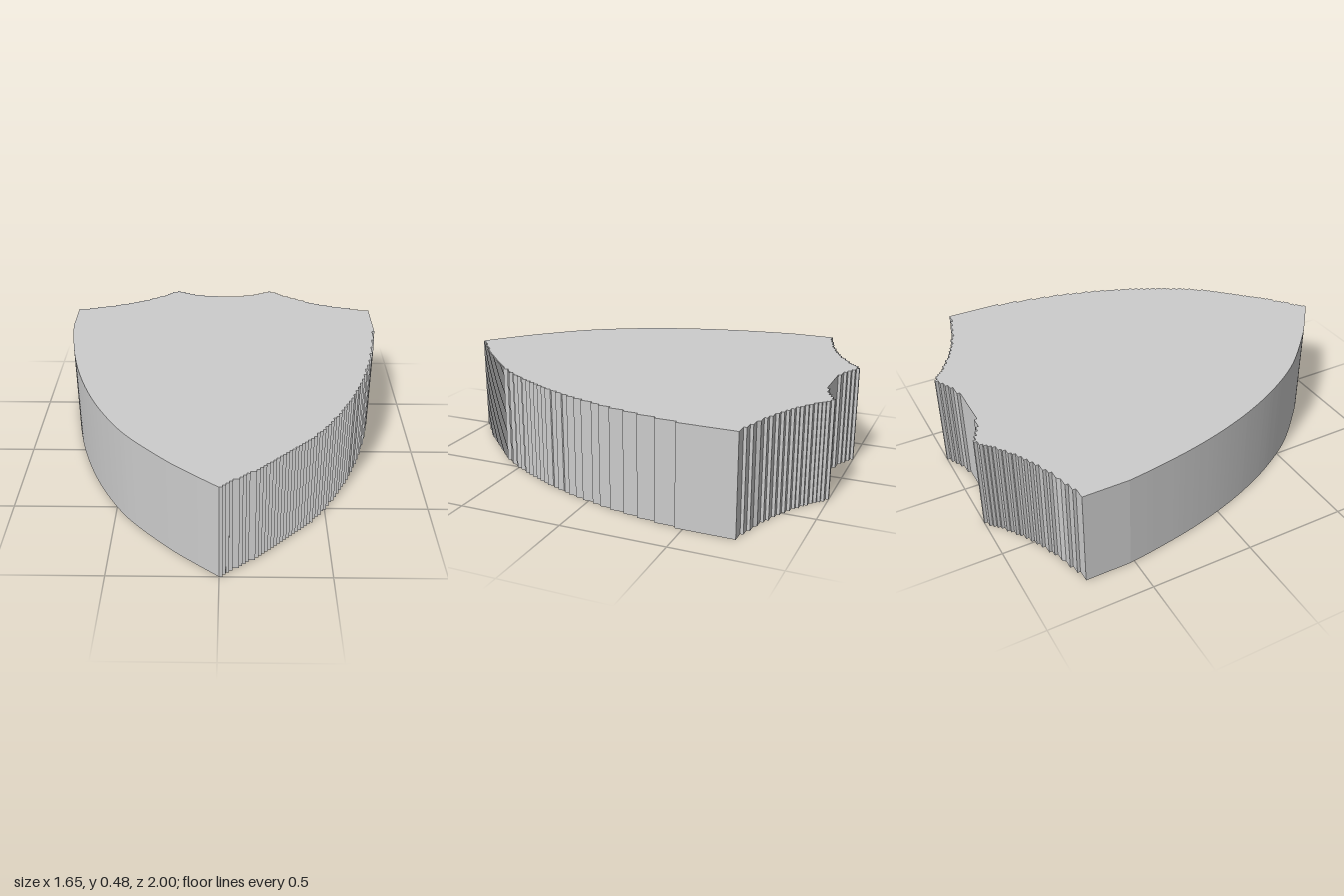
import * as THREE from 'three';

const HEIGHT = 0.48;
const GRID = 2 / 138; // size of the small stair steps in the outline

// Smooth curve through [x, z] points
const curve = (pts, n) =>
  new THREE.SplineCurve(pts.map(([x, z]) => new THREE.Vector2(x, z))).getSpacedPoints(n);
const mirror = (pts) => pts.map(([x, z]) => [-x, z]).reverse();

// Snap a curve to the grid so it becomes a fine staircase, keeping only its corners
function stepped(points) {
  const out = [];
  for (const p of points) {
    const q = new THREE.Vector2(Math.round(p.x / GRID) * GRID, Math.round(p.y / GRID) * GRID);
    const a = out[out.length - 1];
    const b = out[out.length - 2];
    if (a && a.distanceTo(q) < 1e-6) continue;
    const straight = a && b &&
      ((Math.abs(a.x - b.x) < 1e-6 && Math.abs(q.x - a.x) < 1e-6) ||
       (Math.abs(a.y - b.y) < 1e-6 && Math.abs(q.y - a.y) < 1e-6));
    if (straight) out.pop();
    out.push(q);
  }
  return out;
}

export function createModel() {
  const group = new THREE.Group();
  group.name = 'shield';

  // Left half of the outline: side from tip to shoulder, shoulder arc, half notch
  const side = [[0, 1], [0.125, 0.9], [0.24, 0.8], [0.43, 0.6], [0.56, 0.4], [0.655, 0.2],
    [0.725, 0], [0.775, -0.2], [0.81, -0.4], [0.826, -0.52]];
  const shoulder = [[0.826, -0.73], [0.6, -0.8], [0.45, -0.87], [0.36, -0.93], [0.27, -1]];
  const notch = [[0.27, -1], [0.2, -0.96], [0.1, -0.933], [0, -0.925],
    [-0.1, -0.933], [-0.2, -0.96], [-0.27, -1]];

  // Stepped left side and back, smooth right side
  const outline = [
    ...stepped(curve(side, 1500)),
    ...stepped([...curve(shoulder, 700), ...curve(notch, 700), ...curve(mirror(shoulder), 700)]),
    ...curve(mirror(side), 60).slice(0, -1),
  ];

  // Upright slab, laid down so the outline lies in the ground plane
  const shape = new THREE.Shape(outline.map((p) => new THREE.Vector2(p.x, -p.y)));
  const geometry = new THREE.ExtrudeGeometry(shape, { depth: HEIGHT, bevelEnabled: false });
  geometry.rotateX(-Math.PI / 2);

  const slab = new THREE.Mesh(geometry, new THREE.MeshStandardMaterial({ color: 0xcccccc, flatShading: true }));
  slab.name = 'shieldSlab';
  group.add(slab);
  return group;
}
